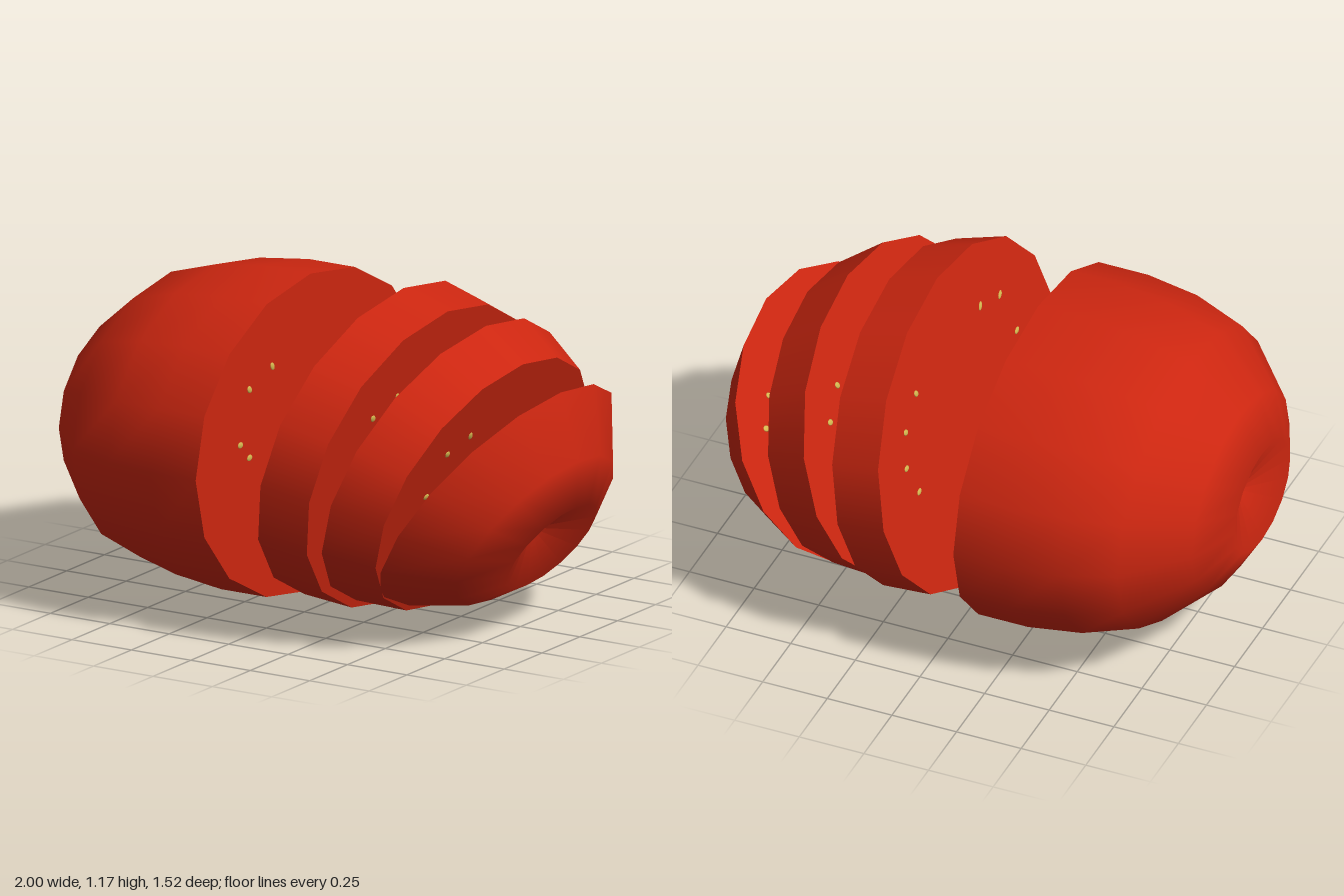
import * as THREE from 'three';

const WIDTH = 1.3; // the fruit is wider (z) than tall (y)
const SIDES = 16;

// seed positions on a cut face as [z, y], in three chambers
const SEEDS = [
  [-0.5, 0.1], [-0.45, -0.03], [-0.45, 0.22], [-0.32, 0.3],
  [-0.16, -0.32], [-0.04, -0.37], [0.1, -0.37], [0.22, -0.3],
  [0.25, 0.3], [0.4, 0.25], [0.46, 0.06], [0.4, 0.0],
];

export function createModel() {
  const red = new THREE.MeshStandardMaterial({ color: 0xcc2610 });
  red.name = 'tomato red';
  const tan = new THREE.MeshStandardMaterial({ color: 0xd6b850 });
  tan.name = 'seed yellow';

  const model = new THREE.Group();
  model.name = 'slicedTomato';

  // flat cut face with seeds; dir is +1 or -1 along the local x axis
  function addCut(group, x, r, dir) {
    const geo = new THREE.CircleGeometry(r, SIDES);
    geo.rotateY(dir * Math.PI / 2);
    geo.scale(1, 1, WIDTH);
    const face = new THREE.Mesh(geo, red);
    face.name = 'cutFace';
    face.position.x = x;
    group.add(face);

    const seedGeo = new THREE.SphereGeometry(1, 8, 6);
    const k = r / 0.58;
    for (const [z, y] of SEEDS) {
      const seed = new THREE.Mesh(seedGeo, tan);
      seed.name = 'seed';
      seed.scale.set(0.004, 0.017, 0.012);
      seed.position.set(x, y * k, z * k);
      seed.rotation.x = Math.atan2(z, y);
      group.add(seed);
    }
  }

  // skin turned around the local x axis from [x, radius] pairs, x increasing
  function addPiece(name, profile, centre, tilt, cutStart, cutEnd) {
    const group = new THREE.Group();
    group.name = name;
    const geo = new THREE.LatheGeometry(profile.map(([x, r]) => new THREE.Vector2(r, x)), SIDES);
    geo.rotateZ(-Math.PI / 2);
    geo.scale(1, 1, WIDTH);
    const skin = new THREE.Mesh(geo, red);
    skin.name = 'skin';
    group.add(skin);
    if (cutStart) addCut(group, ...profile[0], -1);
    if (cutEnd) addCut(group, ...profile[profile.length - 1], 1);
    group.position.set(centre[0], centre[1], 0);
    group.rotation.z = -THREE.MathUtils.degToRad(tilt);
    model.add(group);
  }

  // large uncut part with a dimple at its end
  addPiece('mainPart', [
    [-0.9, 0], [-1, 0.19], [-0.915, 0.335], [-0.72, 0.502],
    [-0.525, 0.56], [-0.325, 0.584], [-0.133, 0.584],
  ], [0, 0.586], 0, false, true);

  // two leaning slices
  addPiece('firstSlice', [[0, 0.582], [0.193, 0.563]], [0.138, 0.607], 12, true, true);
  addPiece('secondSlice', [[0, 0.555], [0.187, 0.498]], [0.412, 0.568], 20.3, true, true);

  // leaning end cap with a dimple
  addPiece('endPart', [
    [0, 0.5], [0.195, 0.338], [0.28, 0.19], [0.18, 0],
  ], [0.648, 0.472], 33, true, false);

  return model;
}
